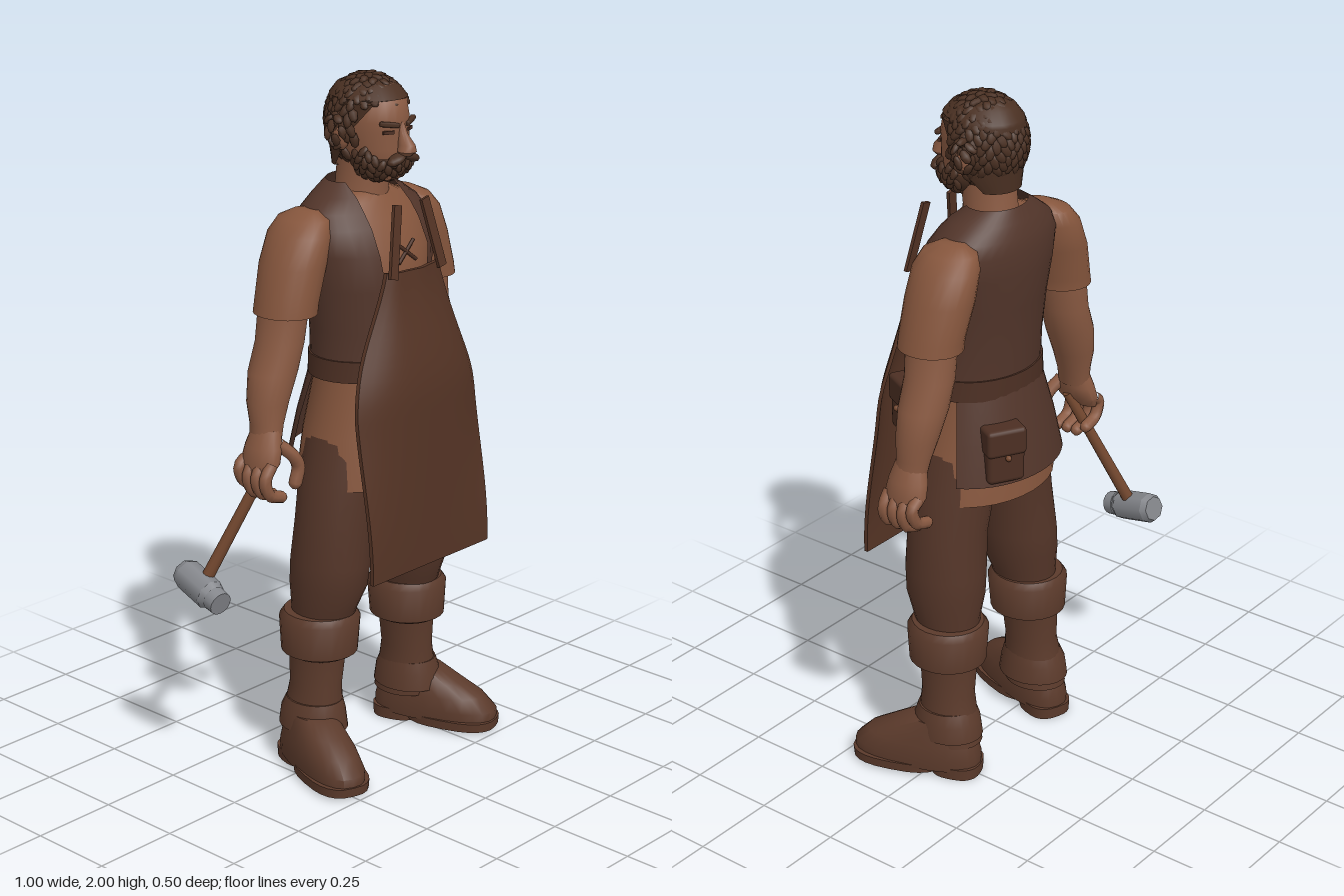
import * as THREE from 'three';
import { mergeGeometries, toCreasedNormals } from 'three/addons/utils/BufferGeometryUtils.js';
import { RoundedBoxGeometry } from 'three/addons/geometries/RoundedBoxGeometry.js';

const CX = 0.053; // body centre line
const mat = (name, color, side = THREE.FrontSide) => {
  const m = new THREE.MeshStandardMaterial({ color, side });
  m.name = name;
  return m;
};

// Stacked rings [x, y, z, rx, rz, squareness, frontGapDegrees], bottom to top.
function loft(rings, n = 24, capped = true) {
  const pos = [], index = [];
  for (const [x, y, z, rx, rz, p = 1, gap = 0] of rings) {
    for (let j = 0; j <= n; j++) {
      const a = THREE.MathUtils.degToRad(90 + gap + (360 - 2 * gap) * j / n);
      const c = Math.cos(a), s = Math.sin(a);
      pos.push(x + Math.sign(c) * Math.abs(c) ** p * rx, y, z + Math.sign(s) * Math.abs(s) ** p * rz);
    }
  }
  const w = n + 1, last = (rings.length - 1) * w;
  for (let i = 0; i < rings.length - 1; i++) for (let j = 0; j < n; j++) {
    const a = i * w + j, b = a + w;
    index.push(a, b, a + 1, a + 1, b, b + 1);
  }
  if (capped) {
    const k = pos.length / 3, r = rings[rings.length - 1];
    pos.push(...rings[0].slice(0, 3), ...r.slice(0, 3));
    for (let j = 0; j < n; j++) index.push(k, j, j + 1, k + 1, last + j + 1, last + j);
  }
  const g = new THREE.BufferGeometry();
  g.setAttribute('position', new THREE.Float32BufferAttribute(pos, 3));
  g.setIndex(index);
  return toCreasedNormals(g, 0.85);
}

// Small overlapping locks spread over an ellipsoid where keep(direction, position) is true.
function locks(centre, radii, count, size, keep) {
  const parts = [], o = new THREE.Object3D();
  for (let i = 0; i < count; i++) {
    const y = 1 - 2 * (i + 0.5) / count, r = Math.sqrt(1 - y * y), a = i * 2.39996;
    const d = new THREE.Vector3(Math.cos(a) * r, y, Math.sin(a) * r);
    const p = d.clone().multiply(radii).add(centre);
    if (!keep(d, p)) continue;
    o.position.copy(p);
    o.lookAt(p.clone().add(d));
    o.rotateZ(Math.sin(i * 12.9) * 0.6);
    o.rotateX(-0.2);
    o.scale.set(size * 0.72, size * 1.15, size * 0.5);
    o.updateMatrix();
    parts.push(new THREE.SphereGeometry(1, 6, 4).applyMatrix4(o.matrix));
  }
  return mergeGeometries(parts);
}

const V = (x, y, z) => new THREE.Vector3(x, y, z);

export function createModel() {
  const root = new THREE.Group();
  root.name = 'craftsman';
  const D = THREE.DoubleSide;
  const skin = mat('skin', 0x8a5a42), linen = mat('linen', 0x86563d, D), vestM = mat('vest cloth', 0x52352a, D),
    trouser = mat('trouser cloth', 0x543528), boot = mat('boot leather', 0x5b3a2b), apronM = mat('apron leather', 0x553425),
    hairM = mat('hair', 0x4a3022, D), leather = mat('dark leather', 0x4c2f23), wood = mat('wood', 0x74482f), steel = mat('steel', 0x85878c);

  const add = (name, geo, m, parent = root) => {
    const mesh = new THREE.Mesh(geo, m);
    mesh.name = name;
    parent.add(mesh);
    return mesh;
  };
  // Stretches a unit-high geometry from a to b.
  const between = (name, geo, m, a, b) => {
    const d = b.clone().sub(a), mesh = add(name, geo, m);
    mesh.position.copy(a).addScaledVector(d, 0.5);
    mesh.scale.y = d.length();
    mesh.quaternion.setFromUnitVectors(V(0, 1, 0), d.normalize());
    return mesh;
  };

  // Torso: shirt, open vest, belt and flared skirts
  add('shirt', loft([[CX, 0.86, 0.01, 0.235, 0.185], [CX, 1.0, 0.01, 0.215, 0.17], [CX, 1.2, 0.01, 0.17, 0.135],
    [CX, 1.42, 0, 0.19, 0.147], [CX, 1.52, -0.01, 0.2, 0.148], [CX, 1.6, -0.03, 0.2, 0.122],
    [CX, 1.65, -0.035, 0.145, 0.098], [CX, 1.675, -0.035, 0.085, 0.08]], 32), linen);
  add('vest', loft([[CX, 1.21, 0.008, 0.188, 0.15, 1, 12], [CX, 1.3, 0.005, 0.186, 0.152, 1, 16], [CX, 1.42, 0, 0.2, 0.157, 1, 24],
    [CX, 1.52, -0.01, 0.214, 0.16, 1, 27], [CX, 1.59, -0.027, 0.225, 0.14, 1, 25], [CX, 1.63, -0.037, 0.2, 0.122, 1, 28],
    [CX, 1.665, -0.043, 0.15, 0.1, 1, 36], [CX, 1.7, -0.045, 0.095, 0.078, 1, 62]], 32, false), vestM);
  add('vestSkirt', loft([[CX, 0.93, 0, 0.25, 0.203, 1, 114], [CX, 1.05, 0, 0.222, 0.18, 1, 112], [CX, 1.19, 0.005, 0.182, 0.15, 1, 108]], 20, false), vestM);
  add('belt', loft([[CX, 1.165, 0.008, 0.196, 0.157], [CX, 1.225, 0.008, 0.193, 0.156]], 32), leather);
  for (const t of [-1, 1])
    between('chestLace', new THREE.CylinderGeometry(0.005, 0.005, 1, 6), leather, V(CX - t * 0.035, 1.49, 0.145), V(CX + t * 0.035, 1.545, 0.135));

  // Pouches on the belt
  const pouch = (name, x, y, z, w, h, ry) => {
    const g = new THREE.Group();
    g.name = name;
    g.position.set(x, y, z);
    g.rotation.y = ry;
    root.add(g);
    add('pouchBody', new RoundedBoxGeometry(w, h, 0.07, 2, 0.015), leather, g);
    add('pouchFlap', new RoundedBoxGeometry(w * 1.06, h * 0.5, 0.08, 2, 0.012), leather, g).position.y = h * 0.27;
    add('pouchClasp', new THREE.SphereGeometry(0.009, 8, 6), wood, g).position.set(0, 0, 0.042);
  };
  pouch('sidePouch', CX + 0.17, 1.1, 0.125, 0.12, 0.16, 1.1);
  pouch('backPouch', CX + 0.115, 1.02, -0.155, 0.11, 0.16, Math.PI - 0.5);

  // Apron: a panel tapering at the bib, its sides curling back at the waist
  const apron = new THREE.BoxGeometry(2, 0.85, 0.012, 16, 24, 1), P = apron.attributes.position;
  for (let i = 0; i < P.count; i++) {
    const u = P.getX(i), y = P.getY(i) + 1.055;
    const t = THREE.MathUtils.smoothstep(y, 1.08, 1.56);
    const half = 0.243 - 0.15 * t;
    const curl = 0.065 * THREE.MathUtils.smoothstep(y, 0.65, 1.2) * (1 - 0.6 * THREE.MathUtils.smoothstep(y, 1.2, 1.48));
    const front = 0.238 - 0.055 * THREE.MathUtils.smoothstep(y, 1.12, 1.5);
    P.setXYZ(i, CX + u * half, y, front + P.getZ(i) - curl * Math.abs(u) ** 3 + 0.003 * Math.sin(u * 7 + y * 5) * t);
  }
  add('apron', toCreasedNormals(apron, 0.8), apronM);
  for (const s of [-1, 1])
    between('apronStrap', new THREE.BoxGeometry(0.03, 1, 0.01), apronM, V(CX + s * 0.1, 1.465, 0.183), V(CX + s * 0.055, 1.66, 0.155));

  // Arms, legs and feet
  for (const s of [-1, 1]) {
    const side = s > 0 ? 'left' : 'right';
    const limb = (rings, n) => loft(rings.map(([dx, ...r]) => [CX + s * dx, ...r]), n);
    add(side + 'Sleeve', limb([[0.285, 1.37, -0.045, 0.084, 0.094], [0.28, 1.4, -0.045, 0.083, 0.094], [0.25, 1.5, -0.05, 0.085, 0.1],
      [0.222, 1.58, -0.05, 0.078, 0.098], [0.205, 1.62, -0.05, 0.06, 0.08], [0.195, 1.64, -0.05, 0.025, 0.04]]), linen);
    add(side + 'Forearm', limb([[0.372, 1.02, -0.04, 0.038, 0.048], [0.362, 1.07, -0.045, 0.044, 0.05], [0.352, 1.13, -0.05, 0.058, 0.06],
      [0.328, 1.21, -0.053, 0.068, 0.07], [0.3, 1.29, -0.053, 0.064, 0.072], [0.285, 1.4, -0.05, 0.065, 0.075]]), skin);
    add(side + 'Palm', limb([[0.405, 0.94, -0.04, 0.022, 0.055], [0.392, 0.97, -0.04, 0.036, 0.066], [0.38, 1.01, -0.04, 0.042, 0.06], [0.368, 1.06, -0.04, 0.036, 0.045]], 16), skin);
    const digit = (name, pts, r) => {
      add(name, new THREE.TubeGeometry(new THREE.CatmullRomCurve3(pts.map(([dx, y, z]) => V(CX + s * dx, y, z))), 10, r, 8), skin);
      const [dx, y, z] = pts[pts.length - 1];
      add(name + 'Tip', new THREE.SphereGeometry(r, 8, 6), skin).position.set(CX + s * dx, y, z);
    };
    for (let f = 0; f < 4; f++) {
      const z = 0.01 - f * 0.033, drop = f === 3 ? 0.02 : 0;
      digit(side + 'Finger', [[0.4, 0.97, z], [0.425, 0.93 + drop, z], [0.41, 0.885 + drop, z], [0.365, 0.868 + drop, z]], 0.0175);
    }
    digit(side + 'Thumb', [[0.365, 1.02, 0], [0.325, 0.98, 0.02], [0.308, 0.945, 0.022], [0.318, 0.9, 0.02]], 0.019);

    add(side + 'TrouserLeg', limb([[0.18, 0.43, -0.015, 0.08, 0.09], [0.178, 0.49, -0.005, 0.088, 0.1], [0.17, 0.56, 0.005, 0.104, 0.118],
      [0.165, 0.63, 0.008, 0.108, 0.12], [0.15, 0.75, 0.012, 0.112, 0.115], [0.125, 0.87, 0.012, 0.12, 0.12], [0.1, 1.0, 0.01, 0.115, 0.12]]), trouser);
    add(side + 'BootCuff', limb([[0.188, 0.345, -0.015, 0.09, 0.095], [0.188, 0.355, -0.015, 0.108, 0.112], [0.186, 0.455, -0.015, 0.115, 0.118], [0.186, 0.475, -0.015, 0.1, 0.105]]), boot);
    add(side + 'BootShaft', limb([[0.2, 0.1, -0.035, 0.08, 0.095], [0.2, 0.19, -0.025, 0.075, 0.088], [0.196, 0.25, -0.022, 0.069, 0.08], [0.19, 0.36, -0.02, 0.08, 0.085]]), boot);
    add(side + 'AnkleFlap', limb([[0.204, 0.12, -0.025, 0.09, 0.108], [0.204, 0.17, -0.025, 0.086, 0.1], [0.202, 0.205, -0.022, 0.076, 0.086]]), boot);
    const foot = new THREE.Group();
    foot.name = side + 'Foot';
    foot.position.set(CX + s * 0.248, 0, 0.05);
    foot.rotation.y = s * 0.33;
    root.add(foot);
    add('shoe', loft([[0, 0.025, 0, 0.08, 0.19, 0.8], [0, 0.06, 0, 0.082, 0.19, 0.8], [0, 0.1, -0.015, 0.076, 0.165, 0.85],
      [0, 0.135, -0.04, 0.068, 0.125, 0.9], [0, 0.17, -0.065, 0.06, 0.085]]), boot, foot);
    add('sole', loft([[0, 0.008, 0.055, 0.084, 0.138, 0.75], [0, 0.035, 0.055, 0.086, 0.14, 0.75]]), boot, foot);
    add('heel', loft([[0, 0, -0.12, 0.066, 0.072, 0.75], [0, 0.035, -0.12, 0.068, 0.074, 0.75]]), boot, foot);
  }

  // Head and face
  add('neck', loft([[CX, 1.6, -0.03, 0.088, 0.09], [CX, 1.68, -0.025, 0.07, 0.078], [CX, 1.78, -0.015, 0.068, 0.08]]), skin);
  add('head', loft([[CX, 1.715, 0.055, 0.045, 0.05], [CX, 1.75, 0.035, 0.074, 0.085], [CX, 1.8, 0.018, 0.086, 0.107], [CX, 1.85, 0.008, 0.091, 0.115],
    [CX, 1.875, 0.006, 0.092, 0.12], [CX, 1.93, 0, 0.088, 0.115], [CX, 1.97, -0.003, 0.06, 0.08]]), skin);
  add('nose', loft([[CX, 1.785, 0.135, 0.016, 0.018], [CX, 1.797, 0.14, 0.026, 0.028], [CX, 1.815, 0.138, 0.02, 0.028], [CX, 1.845, 0.122, 0.011, 0.018], [CX, 1.875, 0.115, 0.01, 0.012]], 12), skin);
  for (const s of [-1, 1]) {
    const ear = add('ear', new THREE.SphereGeometry(1, 12, 8), skin);
    ear.position.set(CX + s * 0.1, 1.83, -0.01);
    ear.scale.set(0.018, 0.036, 0.026);
    const brow = add('eyebrow', new RoundedBoxGeometry(0.058, 0.014, 0.016, 1, 0.005), hairM);
    brow.position.set(CX + s * 0.042, 1.872, 0.114);
    brow.rotation.set(0, s * 0.4, s * 0.15);
    const eye = add('eye', new THREE.BoxGeometry(0.032, 0.009, 0.008), leather);
    eye.position.set(CX + s * 0.042, 1.85, 0.111);
    eye.rotation.y = s * 0.4;
    const lip = add('moustache', new THREE.SphereGeometry(1, 10, 6), hairM);
    lip.position.set(CX + s * 0.026, 1.777, 0.127);
    lip.scale.set(0.035, 0.014, 0.022);
    lip.rotation.z = -s * 0.35;
    add('sideTuft', locks(V(CX + s * 0.108, 1.85, -0.02), V(0.016, 0.045, 0.03), 12, 0.019, () => true), hairM);
  }

  // Curly hair and short beard
  add('hairCap', loft([[CX, 1.74, -0.04, 0.075, 0.07, 1, 105], [CX, 1.8, -0.01, 0.098, 0.105, 1, 88], [CX, 1.86, -0.004, 0.104, 0.118, 1, 72],
    [CX, 1.925, -0.002, 0.1, 0.12, 1, 45], [CX, 1.935, -0.002, 0.097, 0.117, 1, 0], [CX, 1.965, -0.004, 0.075, 0.092], [CX, 1.987, -0.006, 0.03, 0.04]]), hairM);
  add('hairLocks', locks(V(CX, 1.862, -0.002), V(0.106, 0.126, 0.121), 330, 0.021,
    (d, p) => p.y > (d.z > 0.35 ? 1.925 : d.z > -0.05 ? 1.815 : 1.75)), hairM);
  const beard = add('beard', new THREE.SphereGeometry(1, 20, 8, 0, Math.PI * 2, Math.PI * 0.48, Math.PI * 0.52), hairM);
  beard.position.set(CX, 1.775, 0.045);
  beard.scale.set(0.088, 0.07, 0.09);
  add('beardLocks', locks(V(CX, 1.775, 0.045), V(0.088, 0.068, 0.088), 150, 0.016,
    (d) => d.z > -0.3 && d.y < (Math.abs(d.x) > 0.75 ? 0.35 : -0.08)), hairM);

  // Hammer held in the right hand
  between('hammerHandle', new THREE.CylinderGeometry(0.015, 0.018, 1, 10), wood, V(-0.452, 0.585, -0.17), V(-0.3, 0.985, -0.03));
  const hammer = new THREE.Group();
  hammer.name = 'hammerHead';
  hammer.position.set(-0.453, 0.592, -0.16);
  hammer.quaternion.setFromUnitVectors(V(0, 1, 0), V(-0.13, -0.25, 0.95).normalize());
  root.add(hammer);
  add('hammerBlock', new THREE.CylinderGeometry(0.045, 0.045, 0.11, 8), steel, hammer).position.y = -0.02;
  add('hammerNeck', new THREE.CylinderGeometry(0.032, 0.045, 0.02, 8), steel, hammer).position.y = 0.045;
  add('hammerFace', new THREE.CylinderGeometry(0.034, 0.036, 0.032, 16), steel, hammer).position.y = 0.069;
  add('hammerPeen', new THREE.CylinderGeometry(0.045, 0.036, 0.018, 8), steel, hammer).position.y = -0.084;
  return root;
}
